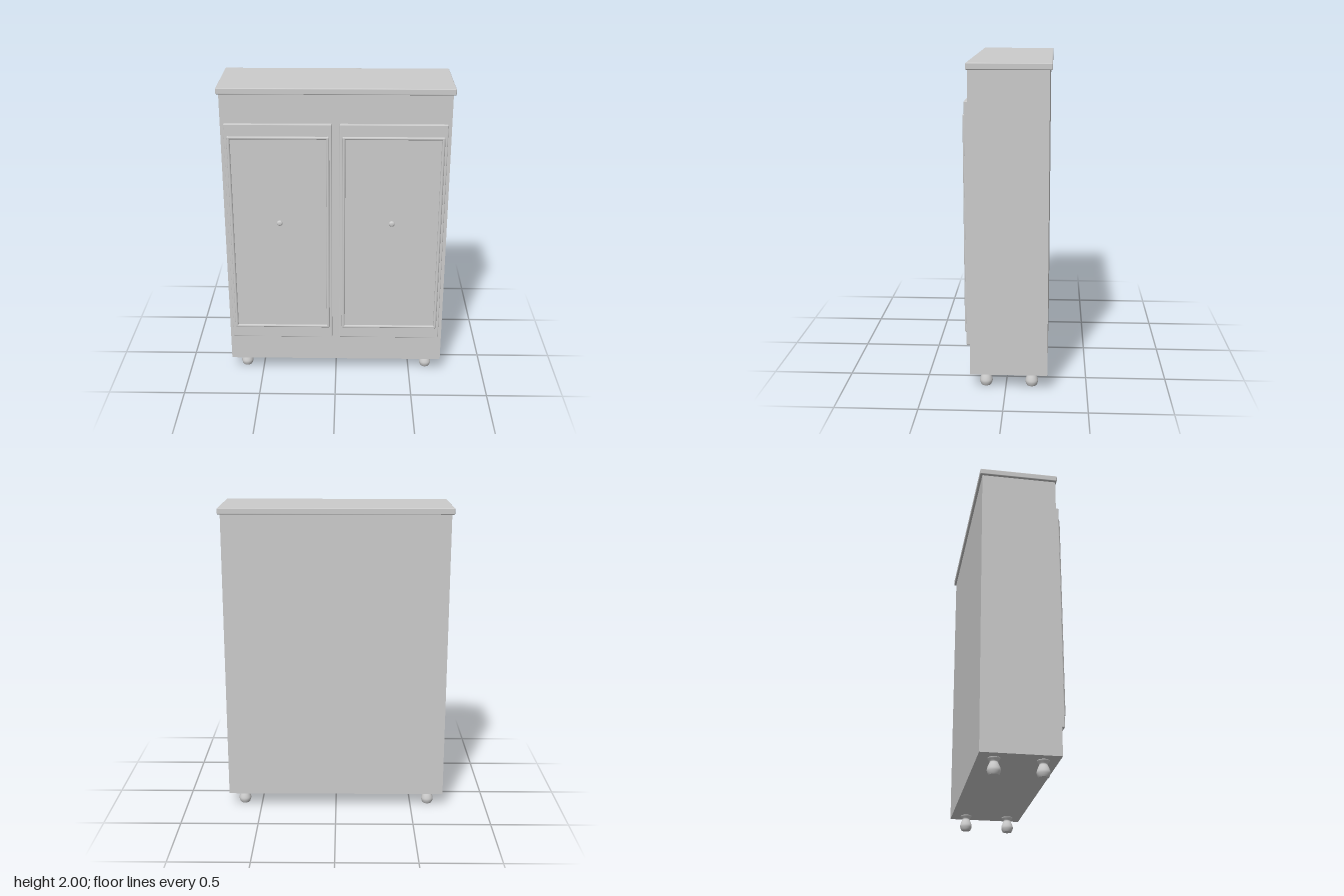
import * as THREE from 'three';
import { RoundedBoxGeometry } from 'three/addons/geometries/RoundedBoxGeometry.js';

const grey = new THREE.MeshStandardMaterial({ color: 0xcccccc });

function add(parent, name, geometry, x, y, z) {
  const mesh = new THREE.Mesh(geometry, grey);
  mesh.name = name;
  mesh.position.set(x, y, z);
  parent.add(mesh);
  return mesh;
}

// Turned shape from [radius, height] points, smoothed along the profile
function turned(points) {
  const curve = new THREE.SplineCurve(points.map(([r, y]) => new THREE.Vector2(r, y)));
  const profile = curve.getPoints(24).map((p) => new THREE.Vector2(Math.max(p.x, 0), p.y));
  return new THREE.LatheGeometry(profile, 28);
}

function makeDoor(side) {
  const door = new THREE.Group();
  door.name = side > 0 ? 'leftDoor' : 'rightDoor';
  const cx = side * 0.356;

  add(door, 'doorPanel', new RoundedBoxGeometry(0.664, 1.496, 0.03, 3, 0.005), cx, 1.03, 0.225);

  // Round beading framing the panel
  const r = 0.01, halfW = 0.306, top = 1.692, bottom = 0.368, z = 0.24;
  for (const s of [-1, 1]) {
    add(door, 'uprightBead', new THREE.CapsuleGeometry(r, top - bottom, 6, 14),
      cx + s * halfW, (top + bottom) / 2, z);
  }
  for (const y of [top, bottom]) {
    const bead = add(door, 'crossBead', new THREE.CylinderGeometry(r * 0.95, r * 0.95, halfW * 2, 14), cx, y, z);
    bead.rotation.z = Math.PI / 2;
  }

  // Knob on a short neck
  const knob = add(door, 'knob', turned([
    [0.010, 0], [0.010, 0.012], [0.0175, 0.018], [0.018, 0.024], [0.012, 0.031], [0, 0.033],
  ]), cx, 1.13, 0.239);
  knob.rotation.x = Math.PI / 2;
  return door;
}

export function createModel() {
  const cabinet = new THREE.Group();
  cabinet.name = 'cabinet';

  // Carcass and overhanging top
  add(cabinet, 'body', new THREE.BoxGeometry(1.422, 1.864, 0.474), 0, 1.032, -0.02);
  add(cabinet, 'topBoard', new RoundedBoxGeometry(1.454, 0.04, 0.498, 3, 0.006), 0, 1.98, -0.023);

  for (const side of [-1, 1]) cabinet.add(makeDoor(side));

  // Turned feet
  const footGeometry = turned([
    [0.030, 0], [0.036, 0.012], [0.040, 0.030], [0.034, 0.052],
    [0.025, 0.072], [0.025, 0.080], [0.036, 0.095], [0.037, 0.101],
  ]);
  for (const x of [-0.617, 0.617]) {
    for (const z of [0.124, -0.160]) {
      add(cabinet, 'foot', footGeometry, x, 0, z);
      const sole = add(cabinet, 'footSole', new THREE.CircleGeometry(0.03, 28), x, 0, z);
      sole.rotation.x = Math.PI / 2;
    }
  }
  return cabinet;
}
